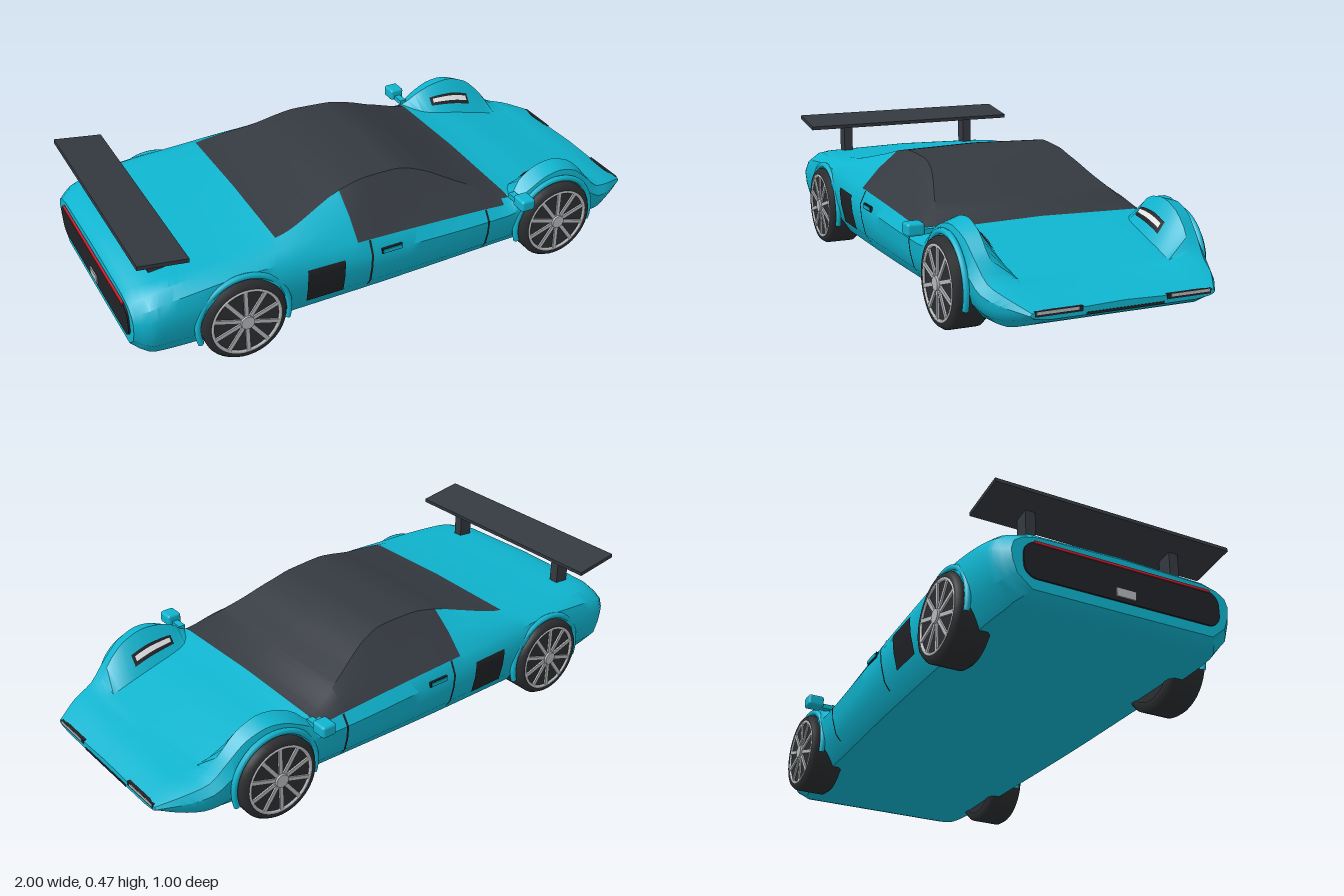
import * as THREE from 'three';
import { toCreasedNormals } from 'three/addons/utils/BufferGeometryUtils.js';
import { RoundedBoxGeometry } from 'three/addons/geometries/RoundedBoxGeometry.js';

const mat = (name, color, side = THREE.FrontSide) =>
  Object.assign(new THREE.MeshStandardMaterial({ color, side }), { name });

// Smooth curve without overshoot through [x, value] pairs
function curve(...p) {
  const d = p.slice(1).map((q, i) => (q[1] - p[i][1]) / (q[0] - p[i][0]));
  const m = p.map((_, i) => {
    if (i === 0 || i === p.length - 1) return d[Math.max(0, i - 1)];
    const a = d[i - 1], b = d[i];
    return a * b > 0 ? (2 * a * b) / (a + b) : 0;
  });
  return x => {
    if (x <= p[0][0]) return p[0][1];
    let i = 0;
    while (i < p.length - 2 && x > p[i + 1][0]) i++;
    const h = p[i + 1][0] - p[i][0], t = Math.min(1, (x - p[i][0]) / h), s = 1 - t;
    return p[i][1] * (1 + 2 * t) * s * s + m[i] * h * t * s * s
      + p[i + 1][1] * t * t * (3 - 2 * t) - m[i + 1] * h * t * t * s;
  };
}

// Long lines of the body, running from tail (-x) to nose (+x)
const floorY = curve([-.99, .1], [-.95, .075], [-.9, .065], [.85, .063], [.93, .085], [1, .118]);
const sideZ = curve([-.99, .395], [-.93, .435], [-.75, .447], [-.2, .447], [.4, .435], [.62, .43], [.8, .415], [.9, .38], [1, .32]);
const sideY = curve([-.99, .22], [-.85, .25], [-.63, .26], [-.2, .25], [.4, .225], [.62, .27], [.75, .22], [.85, .16], [1, .135]);
const beltZ = curve([-.99, .385], [-.93, .42], [-.7, .435], [-.2, .425], [.4, .41], [.5, .42], [.75, .4], [.9, .365], [1, .315]);
const beltY = curve([-.99, .25], [-.95, .27], [-.85, .295], [-.63, .315], [-.47, .31], [-.2, .3], [.32, .265], [.42, .258],
  [.5, .3], [.57, .333], [.62, .34], [.7, .318], [.77, .26], [.84, .195], [.92, .172], [1, .143]);
const crestZ = curve([-.99, .355], [-.9, .385], [-.47, .4], [-.2, .36], [.05, .345], [.43, .39], [.5, .365], [.62, .355], [.75, .355], [.85, .33], [1, .29]);
const crestY = curve([-.99, .27], [-.95, .295], [-.85, .325], [-.7, .335], [-.47, .342], [-.2, .37], [.05, .355], [.3, .303], [.43, .272],
  [.5, .325], [.57, .352], [.62, .358], [.7, .335], [.77, .275], [.83, .205], [.9, .185], [1, .145]);
const edgeZ = curve([-.99, .3], [-.9, .34], [-.47, .35], [-.2, .285], [.05, .27], [.43, .36], [.5, .3], [.62, .28], [.8, .27], [1, .24]);
const topY = curve([-.99, .29], [-.97, .31], [-.9, .33], [-.7, .345], [-.47, .37], [-.3, .41], [-.17, .445], [-.1, .455],
  [.03, .45], [.12, .425], [.25, .362], [.43, .286], [.62, .25], [.82, .2], [.92, .178], [1, .148]);

// Half cross-section as [y, z], from the floor centre up to the roof centre
function section(x) {
  const b = floorY(x), s = sideZ(x), y = sideY(x), t = topY(x);
  return [[b, 0], [b, s - .07], [b + .35 * (y - b), s - .02], [b + .7 * (y - b), s - .005], [y, s],
    [beltY(x), beltZ(x)], [crestY(x), crestZ(x)], [t - .008, edgeZ(x)], [t, 0]];
}
function surfacePoint(x, v, push) {
  const s = section(x), j = Math.min(7, Math.floor(v)), f = v - j;
  return [x, THREE.MathUtils.lerp(s[j][0], s[j + 1][0], f) + push[0], THREE.MathUtils.lerp(s[j][1], s[j + 1][1], f) + push[1]];
}

// Collect triangles on the +z half together with their mirror images
const flip = p => [p[0], p[1], -p[2]];
const addTri = (out, a, b, c) => out.push(...a, ...b, ...c, ...flip(c), ...flip(b), ...flip(a));
const addQuad = (out, a, b, c, d) => { addTri(out, a, b, c); addTri(out, a, c, d); };
function toGeometry(list) {
  const g = new THREE.BufferGeometry();
  g.setAttribute('position', new THREE.Float32BufferAttribute(list, 3));
  return toCreasedNormals(g, .6);
}

// Thin strip lying on both flanks of the body
function patch(x0, x1, v0, v1, push) {
  const out = [], nx = 10, nv = Math.max(1, Math.round((v1 - v0) * 4));
  const at = (i, j) => surfacePoint(x0 + (x1 - x0) * i / nx, v0 + (v1 - v0) * j / nv, push);
  for (let i = 0; i < nx; i++) for (let j = 0; j < nv; j++)
    addQuad(out, at(i, j), at(i + 1, j), at(i + 1, j + 1), at(i, j + 1));
  return toGeometry(out);
}

export function createModel() {
  const paint = mat('body paint', 0x0fb4cf);
  const glass = mat('dark glass', 0x343940);
  const rubber = mat('tyre rubber', 0x2b2d30);
  const trim = mat('black trim', 0x202226, THREE.DoubleSide);
  const metal = mat('wheel metal', 0xb4b7bb);
  const lamp = mat('lamp white', 0xf2f4f5, THREE.DoubleSide);
  const red = mat('tail red', 0xc4222e);
  const car = new THREE.Group();
  car.name = 'sportsCar';
  const add = (name, geo, material, x = 0, y = 0, z = 0, parent = car) => {
    const mesh = new THREE.Mesh(geo, material);
    mesh.name = name;
    mesh.position.set(x, y, z);
    parent.add(mesh);
    return mesh;
  };
  const box = (x, y, z) => new THREE.BoxGeometry(x, y, z);

  // Body shell and glasshouse
  const xs = [-.99, -.98, -.965, -.47, -.2, .4, .43, 1];
  for (let x = -.94; x < .99; x += .025) xs.push(x);
  xs.sort((a, b) => a - b);
  const bodyTris = [], glassTris = [];
  const rings = xs.map(x => section(x).map(([y, z]) => [x, y, z]));
  for (let i = 0; i < xs.length - 1; i++) for (let j = 0; j < 8; j++) {
    const x = (xs[i] + xs[i + 1]) / 2;
    const isGlass = (j === 7 && x > -.47 && x < .43) || (j === 6 && x > -.2 && x < .43) || (j === 5 && x > -.2 && x < .4);
    addQuad(isGlass ? glassTris : bodyTris, rings[i][j], rings[i + 1][j], rings[i + 1][j + 1], rings[i][j + 1]);
  }
  const nose = rings[rings.length - 1], tail = rings[0];
  for (let j = 0; j < 8; j++) {
    addTri(bodyTris, [1, .133, 0], nose[j + 1], nose[j]);
    addTri(bodyTris, [-.99, .2, 0], tail[j], tail[j + 1]);
  }
  add('bodyShell', toGeometry(bodyTris), paint);
  add('glasshouse', toGeometry(glassTris), glass);

  // Door seams, side intakes and fender slots
  add('rearDoorSeams', patch(-.16, -.152, 1.6, 5, [0, .003]), trim);
  add('frontDoorSeams', patch(.316, .324, 1.6, 5, [0, .003]), trim);
  add('sideIntakes', patch(-.4, -.26, 2, 4.2, [0, .004]), trim);
  add('fenderSlotFrames', patch(.53, .7, .43 + 6, 6.75, [.004, -.002]), trim);
  add('fenderSlots', patch(.54, .69, 6.52, 6.66, [.007, -.004]), lamp);

  // Wheels
  const tyre = new THREE.LatheGeometry([[.118, -.065], [.138, -.065], [.15, -.05], [.15, .05], [.14, .065], [.122, .065]]
    .map(p => new THREE.Vector2(...p)), 40).rotateX(Math.PI / 2);
  const disc = new THREE.CylinderGeometry(.122, .122, .122, 32).rotateX(Math.PI / 2);
  const hub = new THREE.CylinderGeometry(.024, .026, .02, 20).rotateX(Math.PI / 2);
  const rim = new THREE.TorusGeometry(.121, .006, 8, 40);
  const spoke = box(.014, .1, .008).translate(0, .07, 0);
  for (const [x, z] of [[-.63, .397], [.61, .39]]) for (const side of [1, -1]) {
    const wheel = new THREE.Group();
    wheel.name = (x > 0 ? 'front' : 'rear') + (side > 0 ? 'Right' : 'Left') + 'Wheel';
    wheel.position.set(x, .15, z * side);
    if (side < 0) wheel.rotation.y = Math.PI;
    add('tyre', tyre, rubber, 0, 0, 0, wheel);
    add('wheelDisc', disc, rubber, 0, 0, 0, wheel);
    add('rim', rim, metal, 0, 0, .062, wheel);
    add('hub', hub, metal, 0, 0, .064, wheel);
    for (let i = 0; i < 10; i++) add('spoke', spoke, metal, 0, 0, .063, wheel).rotation.z = i * Math.PI / 5;
    car.add(wheel);
    // Wheel arch lip
    const lip = new THREE.TorusGeometry(.163, .011, 8, 32, Math.PI * 1.2);
    add('archLip', lip, paint, x, .15, (x > 0 ? .425 : .437) * side).rotation.z = -.1 * Math.PI;
  }

  // Mirrors, door handles and headlamps on both sides
  for (const side of [1, -1]) {
    add('mirror', new RoundedBoxGeometry(.055, .044, .062, 3, .01), paint, .443, .292, .469 * side);
    add('mirrorArm', box(.025, .018, .06), paint, .443, .28, .42 * side);
    add('handleRecess', box(.078, .02, .008), trim, -.08, .252, .446 * side);
    add('doorHandle', box(.07, .013, .01), paint, -.08, .252, .448 * side);
    add('headlampFrame', box(.012, .017, .16), trim, .995, .139, .225 * side);
    add('headlamp', box(.012, .009, .14), metal, .9965, .142, .23 * side);
    add('wingStrut', box(.055, .12, .035), glass, -.865, .385, .27 * side);
  }
  add('noseGrille', box(.01, .008, .27), trim, .997, .122, 0);

  // Rear wing
  add('wing', box(.172, .014, .87), glass, -.885, .449, 0).rotation.z = -.15;

  // Tail panel, light strip and exhaust
  const w = .355, h = .062, r = .045, shape = new THREE.Shape();
  shape.absarc(w - r, h - r, r, 0, Math.PI / 2);
  shape.absarc(r - w, h - r, r, Math.PI / 2, Math.PI);
  shape.absarc(r - w, r - h, r, Math.PI, Math.PI * 1.5);
  shape.absarc(w - r, r - h, r, Math.PI * 1.5, Math.PI * 2);
  const panel = new THREE.ExtrudeGeometry(shape, { depth: .006, bevelEnabled: false, curveSegments: 8 });
  add('tailPanel', panel, trim, -.99, .198, 0).rotation.y = -Math.PI / 2;
  add('tailLight', box(.008, .009, .64), red, -.996, .258, 0);
  add('exhaust', box(.01, .03, .07), metal, -.995, .165, 0);
  return car;
}
